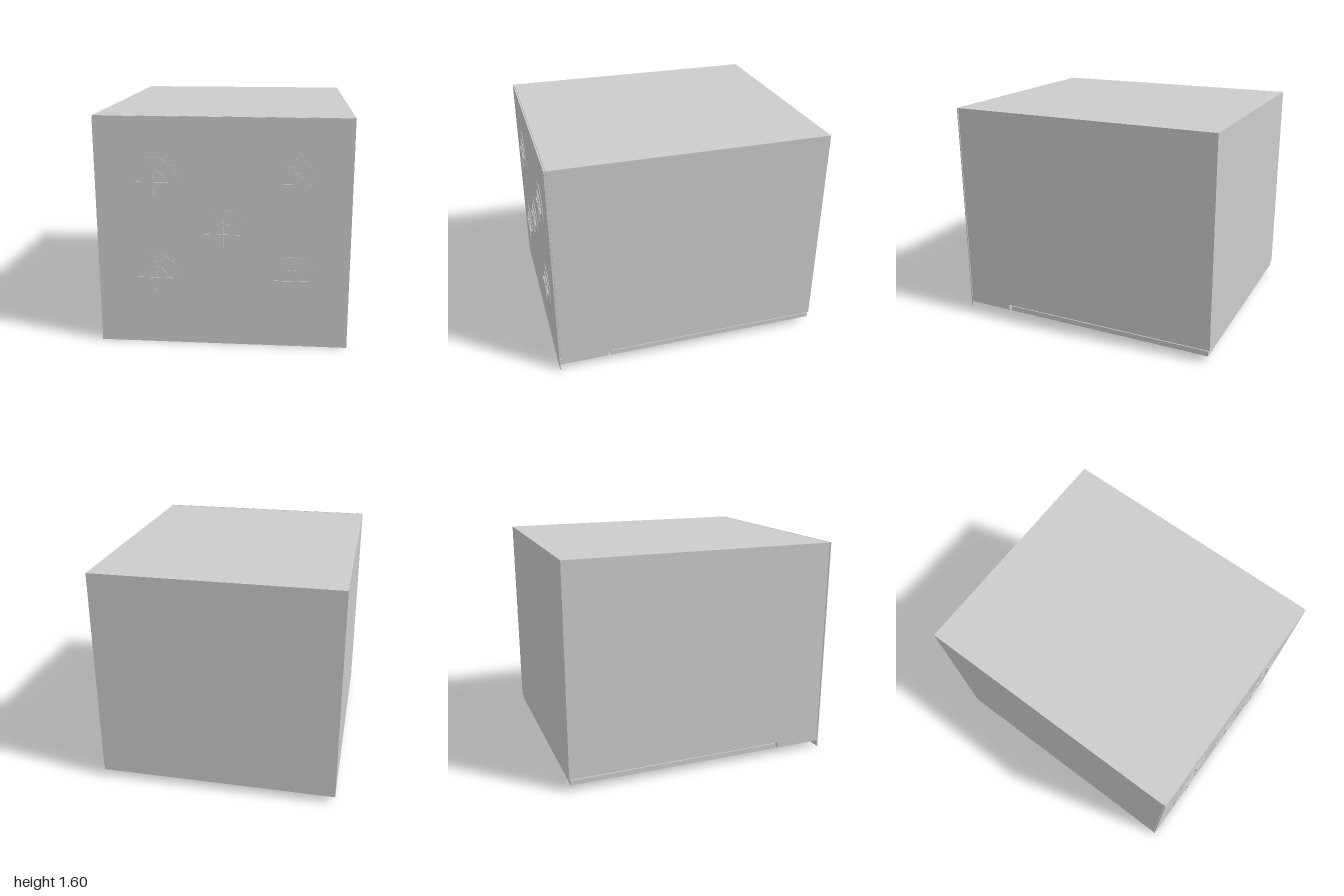
import * as THREE from 'three';

const material = new THREE.MeshStandardMaterial({ color: 0xcccccc });

function add(parent, name, geometry, x = 0, y = 0, z = 0) {
  const mesh = new THREE.Mesh(geometry, material);
  mesh.name = name;
  mesh.position.set(x, y, z);
  parent.add(mesh);
  return mesh;
}

// Box given by its extents along each axis
function slab(parent, name, x0, x1, y0, y1, z0, z1) {
  return add(parent, name, new THREE.BoxGeometry(x1 - x0, y1 - y0, z1 - z0),
    (x0 + x1) / 2, (y0 + y1) / 2, (z0 + z1) / 2);
}

// Burner on the cooktop, facing +z
function createBurner(x, y) {
  const burner = new THREE.Group();
  burner.name = 'burner';
  burner.position.set(x, y, 0.986);
  const disc = (name, r, z0, z1) => {
    const g = new THREE.CylinderGeometry(r, r, z1 - z0, 48).rotateX(Math.PI / 2);
    add(burner, name, g, 0, 0, (z0 + z1) / 2);
  };
  disc('burnerBase', 0.173, 0, 0.003);
  disc('burnerCap', 0.085, 0.003, 0.008);
  slab(burner, 'grateBarAcross', -0.12, 0.12, -0.006, 0.006, 0.006, 0.014);
  slab(burner, 'grateBarUpright', -0.006, 0.006, -0.12, 0.12, 0.006, 0.014);
  return burner;
}

export function createModel() {
  const stove = new THREE.Group();
  stove.name = 'stove';
  const w = 0.86;

  // Cabinet and cooktop plate; the stove lies with its door facing down
  slab(stove, 'cabinet', -w, w, 0.09, 1.6, -1, 0.974);
  slab(stove, 'cooktopSeam', -w + 0.01, w - 0.01, 0.1, 1.59, 0.974, 0.979);
  slab(stove, 'cooktop', -w, w, 0, 1.6, 0.979, 0.986);

  for (const [x, y] of [[-0.465, 1.155], [0.465, 1.155], [0, 0.8], [-0.465, 0.48], [0.465, 0.48]]) {
    stove.add(createBurner(x, y));
  }

  // Control panel with display and knobs
  slab(stove, 'controlPanel', -w, w, 0.048, 0.09, 0.625, 0.979);
  slab(stove, 'displayPanel', -0.25, 0.25, 0.045, 0.048, 0.72, 0.88);
  for (let i = -2; i <= 2; i++) {
    const profile = [[0, 0.01], [0.028, 0.01], [0.032, 0.014], [0.034, 0.042], [0.03, 0.048]]
      .map(([r, y]) => new THREE.Vector2(r, y));
    add(stove, 'controlKnob', new THREE.LatheGeometry(profile, 32), i * 0.29, 0, 0.785);
  }

  // Oven door, window frame and glass
  slab(stove, 'doorSeam', -w + 0.01, w - 0.01, 0.084, 0.091, -0.98, 0.595);
  slab(stove, 'ovenDoor', -w, w, 0.048, 0.085, -0.99, 0.605);
  slab(stove, 'windowFrame', -0.74, 0.74, 0.044, 0.048, -0.835, 0.335);
  slab(stove, 'windowGlass', -0.63, 0.63, 0.042, 0.044, -0.72, 0.12);
  for (const z of [-0.54, -0.325, -0.11]) {
    slab(stove, 'rackLine', -0.53, 0.53, 0.041, 0.042, z - 0.004, z + 0.004);
  }

  // Door handle on two posts
  const bar = new THREE.CylinderGeometry(0.008, 0.008, 1.3, 16).rotateZ(Math.PI / 2);
  add(stove, 'doorHandle', bar, 0, 0.018, 0.475);
  for (const side of [-1, 1]) {
    add(stove, 'handlePost', new THREE.CylinderGeometry(0.006, 0.006, 0.032, 12), side * 0.63, 0.034, 0.475);
  }

  return stove;
}
